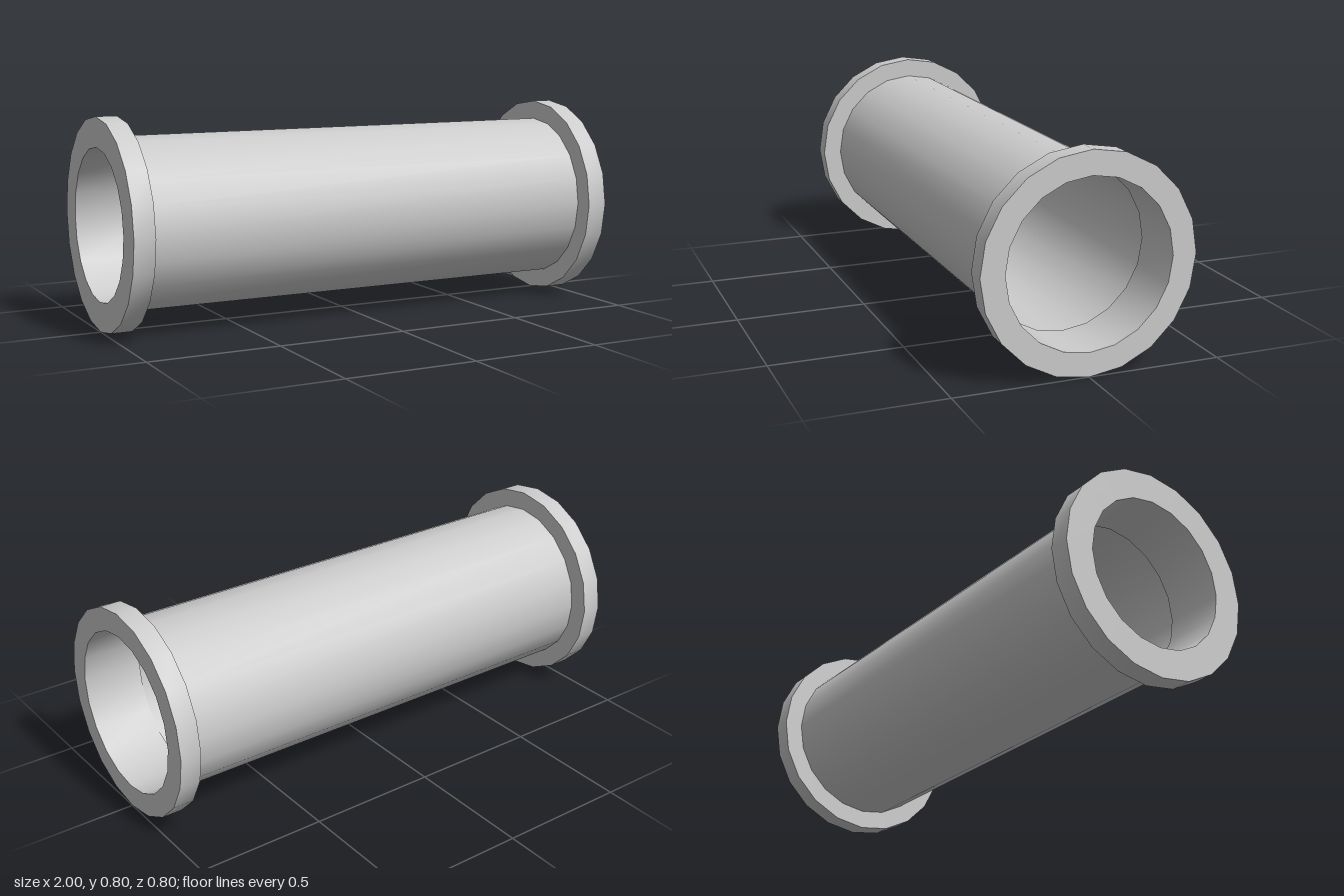
import * as THREE from 'three';
import { toCreasedNormals } from 'three/addons/utils/BufferGeometryUtils.js';

const SIDES = 20;
const FLANGE_R = 0.399, TUBE_R = 0.325, BORE_R = 0.315;
const HALF = 1, FLANGE_T = 0.08, SLEEVE = 0.23;

const material = new THREE.MeshStandardMaterial({ color: 0xcccccc });

// Revolves [radius, x] points around the x axis; rims stay sharp, walls smooth.
function revolve(name, profile) {
  const points = profile.map(([r, x]) => new THREE.Vector2(r, x));
  const geometry = toCreasedNormals(new THREE.LatheGeometry(points, SIDES), Math.PI / 6);
  geometry.rotateZ(-Math.PI / 2);
  const mesh = new THREE.Mesh(geometry, material);
  mesh.name = name;
  return mesh;
}

// Flange with the short sleeve lining the bore behind it, for the +x end.
function makeEnd(name, holeR) {
  const inner = HALF - FLANGE_T;
  return revolve(name, [
    [TUBE_R, inner], [FLANGE_R, inner], [FLANGE_R, HALF],
    [holeR, HALF], [holeR, HALF - SLEEVE], [BORE_R, HALF - SLEEVE],
  ]);
}

export function createModel() {
  const model = new THREE.Group();
  model.name = 'flangedPipe';

  // Pipe wall between the flanges
  const end = HALF - FLANGE_T, bore = HALF - SLEEVE;
  model.add(revolve('pipeOuterWall', [[TUBE_R, -end], [TUBE_R, end]]));
  model.add(revolve('pipeBore', [[BORE_R, bore], [BORE_R, -bore]]));

  // Flanged ends: the left one has the wider hole
  const left = makeEnd('leftFlange', 0.31);
  const right = makeEnd('rightFlange', 0.287);
  right.rotation.y = Math.PI;
  model.add(left, right);

  model.position.y = FLANGE_R;
  return model;
}
